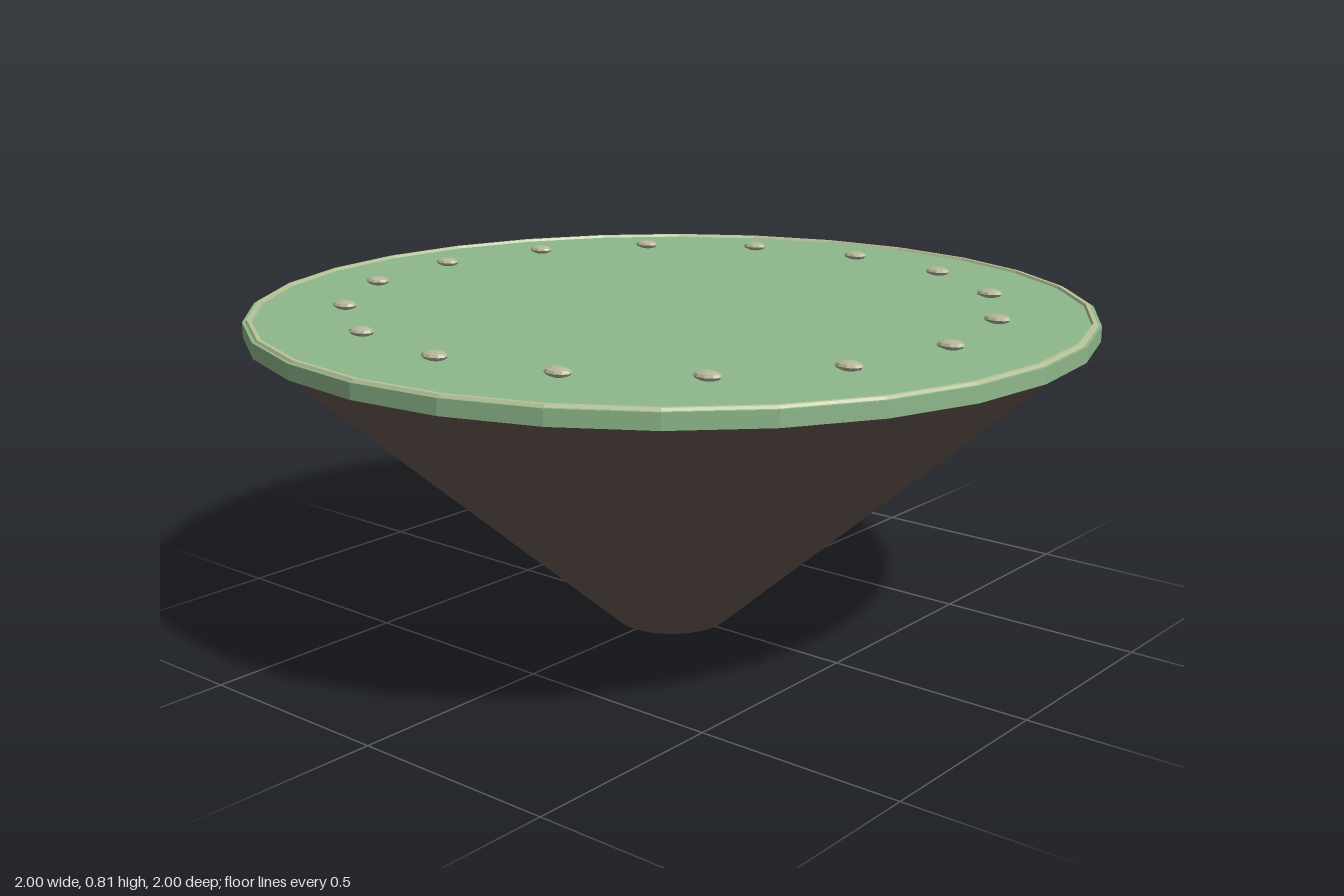
import * as THREE from 'three';

const mat = (color) => new THREE.MeshStandardMaterial({ color, flatShading: true });

export function createModel() {
  const group = new THREE.Group();
  const add = (name, geometry, material, y, parent = group) => {
    const mesh = new THREE.Mesh(geometry, material);
    mesh.name = name;
    mesh.position.y = y;
    parent.add(mesh);
    return mesh;
  };

  // Faceted cone tapering down to a small flat foot
  add('taperedBase', new THREE.CylinderGeometry(0.985, 0.14, 0.75, 20), mat(0x6b5d53), 0.375);

  // Thin round top plate
  add('topPlate', new THREE.CylinderGeometry(1, 1, 0.036, 28), mat(0x8fb88c), 0.768);

  // Slim trim ring along the plate's edge
  const rim = add('rimTrim', new THREE.TorusGeometry(0.985, 0.009, 6, 28), mat(0xb9c49a), 0.784);
  rim.rotation.x = Math.PI / 2;

  // Ring of sixteen small oval studs, all lying lengthwise along x
  const studs = new THREE.Group();
  studs.name = 'studs';
  group.add(studs);
  const studGeometry = new THREE.SphereGeometry(1, 10, 6).scale(0.033, 0.011, 0.024);
  const studMaterial = mat(0xb4b898);
  for (let i = 0; i < 16; i++) {
    const a = (i / 16) * Math.PI * 2;
    const stud = add('stud', studGeometry, studMaterial, 0.8, studs);
    stud.position.x = Math.cos(a) * 0.77;
    stud.position.z = Math.sin(a) * 0.77;
  }
  return group;
}
